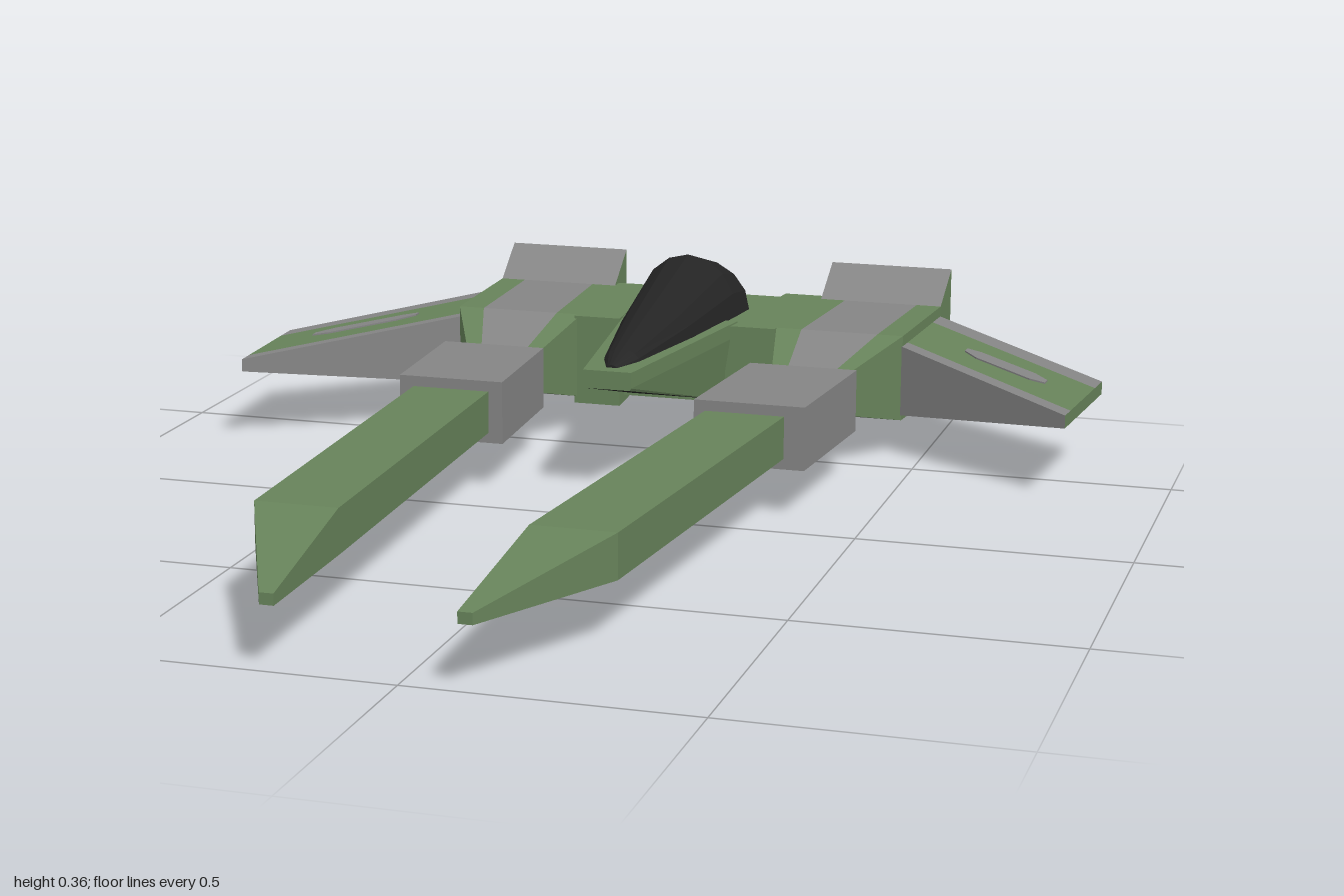
import * as THREE from 'three';

const paint = (name, color) => Object.assign(new THREE.MeshStandardMaterial({ color }), { name });

export function createModel() {
  const green = paint('hullGreen', 0x67835a);
  const grey = paint('panelGrey', 0x858585);
  const black = paint('glossBlack', 0x242424);
  const palette = [green, grey, black];
  for (const m of palette) m.flatShading = true;
  const G = 0, W = 1, K = 2; // palette slots: green, grey, black

  const model = new THREE.Group();
  model.name = 'starfighter';

  // Skins matching rings of points. sides: palette slot per ring edge; caps: [start, end], null = open
  function loft(name, rings, sides, caps = [null, null], flip = false, parent = model) {
    const buckets = [[], [], []];
    const tri = (slot, a, b, c) => buckets[slot].push(...a, ...(flip ? c : b), ...(flip ? b : c));
    const n = rings[0].length;
    const slotOf = (i) => (Array.isArray(sides) ? sides[i] : sides);
    for (let r = 0; r < rings.length - 1; r++) {
      for (let i = 0; i < n; i++) {
        const j = (i + 1) % n, a = rings[r], b = rings[r + 1];
        tri(slotOf(i), a[i], a[j], b[j]);
        tri(slotOf(i), a[i], b[j], b[i]);
      }
    }
    const first = rings[0], last = rings[rings.length - 1];
    for (let i = 1; i < n - 1; i++) {
      if (caps[0] !== null) tri(caps[0], first[0], first[i + 1], first[i]);
      if (caps[1] !== null) tri(caps[1], last[0], last[i], last[i + 1]);
    }
    const geo = new THREE.BufferGeometry();
    let start = 0;
    buckets.forEach((b, slot) => {
      if (b.length) geo.addGroup(start, b.length / 3, slot);
      start += b.length / 3;
    });
    geo.setAttribute('position', new THREE.Float32BufferAttribute(buckets.flat(), 3));
    geo.computeVertexNormals();
    const mesh = new THREE.Mesh(geo, palette);
    mesh.name = name;
    parent.add(mesh);
    return mesh;
  }

  // Rectangular ring at depth z; edges run bottom, +x, top, -x
  const rect = (z, xa, xb, y0, y1) => {
    const x0 = Math.min(xa, xb), x1 = Math.max(xa, xb);
    return [[x0, y0, z], [x1, y0, z], [x1, y1, z], [x0, y1, z]];
  };
  // Rectangular ring with a centre stripe on top and bottom
  const striped = (z, xa, xb, y0, y1) => {
    const x0 = Math.min(xa, xb), x1 = Math.max(xa, xb), t = (x1 - x0) * 0.2;
    return [[x0, y0, z], [x0 + t, y0, z], [x1 - t, y0, z], [x1, y0, z],
      [x1, y1, z], [x1 - t, y1, z], [x0 + t, y1, z], [x0, y1, z]];
  };

  // Both sides share a layout, with slightly different alignment
  const layouts = [
    { side: 'left', s: 1, sleeve: [[0.195, 0.405], [0.17, 0.38]], sleeveZ: -0.10, neck: [0.225, 0.385],
      mid: [0.20, 0.455], prong: [[0.20, 0.35], [0.12, 0.27], [0.10, 0.125]],
      block: [[0.14, 0.225], [0.10, 0.20]], tipBack: [0.84, -0.65], tipFront: [0.815, -0.36] },
    { side: 'right', s: -1, sleeve: [[0.225, 0.43], [0.21, 0.415]], sleeveZ: -0.12, neck: [0.245, 0.405],
      mid: [0.205, 0.465], prong: [[0.24, 0.39], [0.21, 0.36], [0.205, 0.23]],
      block: [[0.14, 0.225], [0.12, 0.215]], tipBack: [0.84, -0.60], tipFront: [0.83, -0.325] },
  ];

  for (const L of layouts) {
    const { s, side } = L;
    const group = new THREE.Group();
    group.name = `${side}Pod`;
    model.add(group);
    const box = (z, [a, b], y0, y1) => rect(z, s * a, s * b, y0, y1);

    // Long forward prong with a bevelled tip
    loft('prong', [box(-0.2, L.prong[0], 0.11, 0.19), box(0.71, L.prong[1], 0.11, 0.19),
      box(1, L.prong[2], 0.11, 0.13)], G, [G, G], false, group);

    // Grey sleeve and the neck behind it
    loft('sleeve', [box(-0.47, L.neck, 0.105, 0.195), box(-0.415, L.sleeve[0], 0.09, 0.21),
      box(L.sleeveZ, L.sleeve[1], 0.09, 0.21)], W, [null, W], false, group);

    // Engine nacelle with a grey centre stripe
    const band = (z, [a, b], y0, y1) => striped(z, s * a, s * b, y0, y1);
    loft('nacelle', [band(-0.89, [0.222, 0.472], 0.06, 0.24), band(-0.6, L.mid, 0.07, 0.24),
      band(-0.47, L.neck, 0.105, 0.195)], [G, W, G, G, G, W, G, G], [W, null], false, group);

    // Flared hollow exhaust
    const rim = box(-0.98, [0.224, 0.475], 0, 0.3);
    const lip = box(-0.98, [0.25, 0.45], 0.03, 0.27);
    loft('exhaustShell', [rim, box(-0.89, [0.222, 0.472], 0.06, 0.24)], [W, G, W, G], [null, null], false, group);
    loft('exhaustRim', [lip, rim], W, [null, null], false, group);
    loft('exhaustInside', [box(-0.895, [0.25, 0.45], 0.08, 0.22), lip], [W, G, W, G], [W, null], false, group);

    // Swept wing: u runs root to tip, v runs leading to trailing edge
    const mix = THREE.MathUtils.lerp;
    const wingPoint = (u, v, top, lift = 0) => {
      const front = [mix(L.mid[1] - 0.005, L.tipFront[0], u), mix(-0.6, L.tipFront[1], u)];
      const back = [mix(0.47, L.tipBack[0], u), mix(-0.89, L.tipBack[1], u)];
      const y = top ? mix(0.22, 0.165, u) + lift : mix(0.08, 0.14, u) - lift;
      return [s * mix(front[0], back[0], v), y, mix(front[1], back[1], v)];
    };
    const cuts = [0, 0.14, 0.8, 1];
    const wingRing = (u) => [...cuts.map((v) => wingPoint(u, v, false)),
      ...[...cuts].reverse().map((v) => wingPoint(u, v, true))];
    loft('wing', [wingRing(0), wingRing(1)], [W, G, W, W, W, G, W, W], [null, G], s < 0, group);

    // Grey slot marking on the wing top
    const slot = (u, v0, v1) => [wingPoint(u, v0, true, 0.001), wingPoint(u, v1, true, 0.001),
      wingPoint(u, v1, true, 0.004), wingPoint(u, v0, true, 0.004)];
    loft('wingSlot', [slot(0.3, 0.43, 0.5), slot(0.38, 0.38, 0.54), slot(0.7, 0.4, 0.56),
      slot(0.78, 0.45, 0.52)], W, [W, W], s < 0, group);

    // Block joining the nacelle to the fuselage
    loft('joiningBlock', [box(-0.92, L.block[0], 0.06, 0.24), box(-0.585, L.block[1], 0.06, 0.24)],
      G, [G, G], false, group);

    // Rear thruster bell
    const bell = [[0, -0.88], [0.037, -0.88], [0.037, -0.915], [0.027, -0.945], [0.047, -0.97],
      [0.047, -1], [0.035, -1], [0.02, -0.975], [0, -0.975]]
      .map(([r, z]) => new THREE.Vector2(r, -z));
    const thruster = new THREE.Mesh(new THREE.LatheGeometry(bell, 12), black);
    thruster.name = 'thruster';
    thruster.rotation.x = -Math.PI / 2;
    thruster.position.set(s * 0.085, 0.165, 0);
    group.add(thruster);
  }

  // Central hull and tapered nose with a dark belly
  loft('centreHull', [rect(-0.895, -0.135, 0.14, 0.08, 0.238), rect(-0.6, -0.115, 0.11, 0.08, 0.238)], G, [W, G]);
  const noseRing = (z, xl, xr, y0, y1, inset) =>
    [[xl + inset, y0, z], [xr - inset, y0, z], [xr, y1 - 0.03, z], [xr, y1, z], [xl, y1, z], [xl, y1 - 0.03, z]];
  loft('nose', [noseRing(-0.62, -0.118, 0.115, 0.08, 0.243, 0.02), noseRing(-0.125, -0.052, 0.042, 0.21, 0.245, 0.003)],
    [K, G, G, G, G, G], [G, G]);

  // Faceted canopy: depth, half width, height
  const canopy = [[-0.83, 0.045, 0.012], [-0.8, 0.08, 0.06], [-0.75, 0.11, 0.1], [-0.68, 0.103, 0.12],
    [-0.45, 0.075, 0.072], [-0.22, 0.036, 0.026], [-0.155, 0.012, 0.01]];
  loft('canopy', canopy.map(([z, w, h]) => Array.from({ length: 9 }, (_, i) => {
    const a = (i / 8) * Math.PI;
    return [-0.005 + w * Math.cos(a), 0.24 + h * Math.sin(a), z];
  })), K, [K, K]);

  return model;
}
